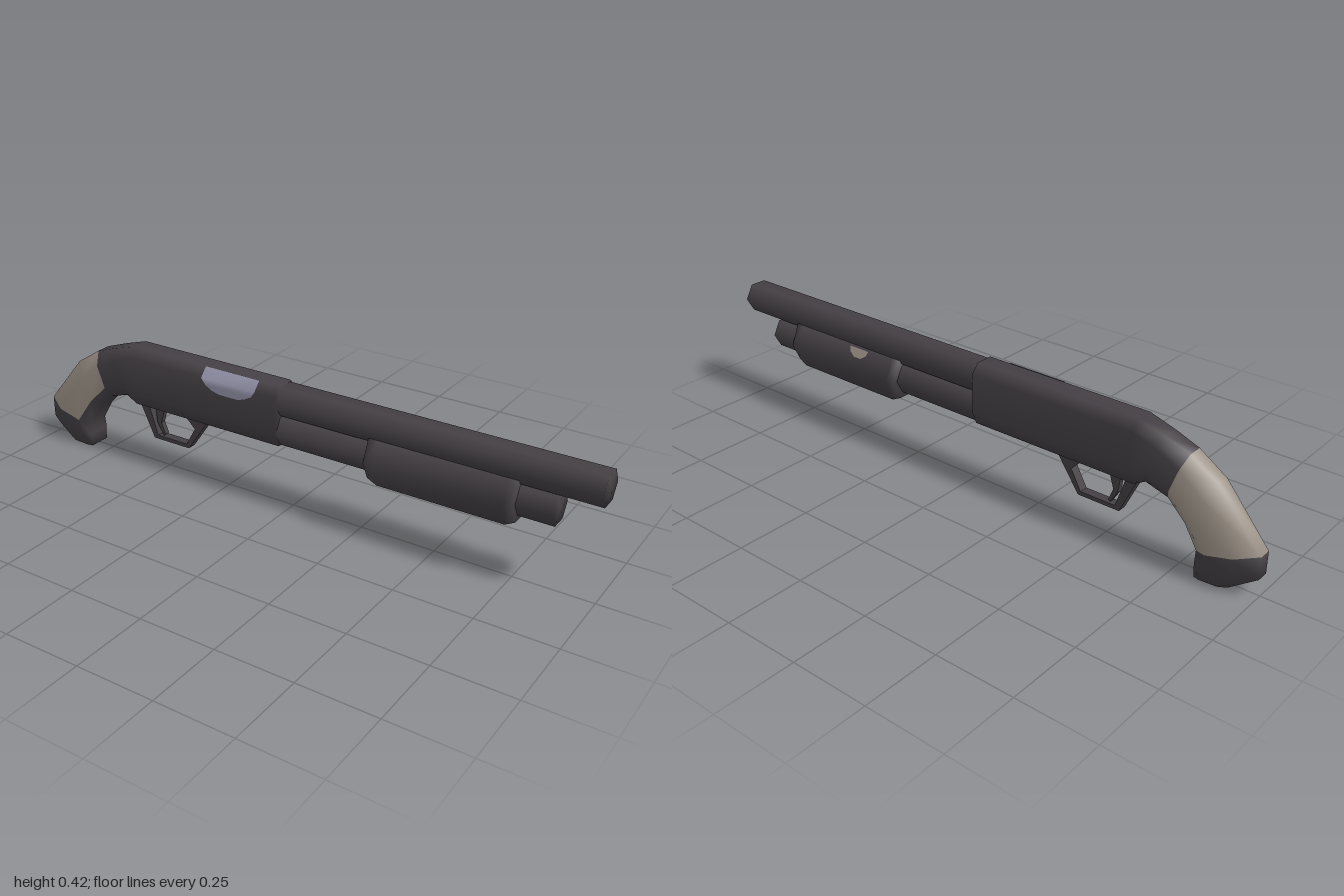
import * as THREE from 'three';

const mat = (name, color, extra = {}) =>
  Object.assign(new THREE.MeshStandardMaterial({ color, ...extra }), { name });

// Skin a list of rings (start to end) with capped ends and shared, smooth normals.
// pick(ring, side) gives the material index of each quad.
function loft(rings, pick = () => 0) {
  const n = rings[0].length, pos = rings.flat(2), lists = [[], []];
  const centre = ring => [0, 1, 2].map(k => ring.reduce((s, p) => s + p[k], 0) / n);
  const last = rings.length - 1, c0 = rings.length * n;
  pos.push(...centre(rings[0]), ...centre(rings[last]));
  for (let j = 0; j < n; j++) {
    const k = (j + 1) % n;
    for (let i = 0; i < last; i++) {
      const a = i * n + j, b = i * n + k;
      lists[pick(i, j)].push(a, b, a + n, b, b + n, a + n);
    }
    lists[0].push(c0, k, j, c0 + 1, last * n + j, last * n + k);
  }
  const g = new THREE.BufferGeometry();
  g.setAttribute('position', new THREE.Float32BufferAttribute(pos, 3));
  g.setIndex(lists.flat());
  g.addGroup(0, lists[0].length, 0);
  if (lists[1].length) g.addGroup(lists[0].length, lists[1].length, 1);
  g.computeVertexNormals();
  return g;
}

// Eight-sided section between a top and a bottom point of the side outline.
function section([tx, ty, bx, by, w, topW, botW, hi, lo]) {
  const half = [[1, topW], [hi, w], [lo, w], [0, botW]];
  const at = (t, z) => [bx + (tx - bx) * t, by + (ty - by) * t, z];
  return [...half.map(([t, z]) => at(t, z)), ...half.reverse().map(([t, z]) => at(t, -z))];
}

// Six-sided section at x with points at the sides and flats above and below.
const hexRing = (x, yMid, top, bottom, w, flat) => [
  [x, top, flat], [x, yMid, w], [x, bottom, flat],
  [x, bottom, -flat], [x, yMid, -w], [x, top, -flat],
];

// Flat outline extruded evenly about z = 0.
function plate(outline, hole, depth) {
  const shape = new THREE.Shape(outline.map(p => new THREE.Vector2(...p)));
  if (hole) shape.holes.push(new THREE.Path(hole.map(p => new THREE.Vector2(...p))));
  return new THREE.ExtrudeGeometry(shape, { depth, bevelEnabled: false }).translate(0, 0, -depth / 2);
}

// Open strip across rows of [y, z, xStart, xEnd].
function strip(rows) {
  const idx = [];
  for (let i = 0; i < rows.length - 1; i++) {
    const a = i * 2;
    idx.push(a, a + 2, a + 1, a + 1, a + 2, a + 3);
  }
  const g = new THREE.BufferGeometry();
  g.setAttribute('position', new THREE.Float32BufferAttribute(
    rows.flatMap(([y, z, x0, x1]) => [x0, y, z, x1, y, z]), 3));
  g.setIndex(idx);
  g.computeVertexNormals();
  return g;
}

export function createModel() {
  const group = new THREE.Group();
  const dark = mat('darkMetal', 0x454045);
  const wrap = mat('gripBeige', 0x9c9287, { side: THREE.DoubleSide });
  const port = mat('portLavender', 0x9694ab, { side: THREE.DoubleSide });
  const add = (name, geometry, material) => {
    const mesh = new THREE.Mesh(geometry, material);
    mesh.name = name;
    group.add(mesh);
  };

  // Grip and receiver, from the butt forward; the beige wrap leaves the front strap dark
  const body = [
    [-0.916, 0.005, -0.815, 0.0, 0.042, 0.03, 0.036, 0.75, 0.2],
    [-1.0, 0.0625, -0.815, 0.045, 0.05, 0.02, 0.04, 0.7, 0.2],
    [-1.0, 0.135, -0.815, 0.086, 0.056, 0.02, 0.036, 0.65, 0.2],
    [-0.857, 0.303, -0.772, 0.153, 0.054, 0.022, 0.032, 0.68, 0.2],
    [-0.765, 0.362, -0.712, 0.213, 0.052, 0.024, 0.032, 0.72, 0.22],
    [-0.685, 0.39, -0.64, 0.236, 0.053, 0.027, 0.034, 0.8, 0.22],
    [-0.6, 0.415, -0.6, 0.215, 0.056, 0.029, 0.036, 0.85, 0.22],
    [-0.03, 0.415, -0.03, 0.215, 0.056, 0.029, 0.036, 0.85, 0.22],
  ].map(section);
  add('receiverAndGrip',
    loft(body, (i, j) => ((i === 2 || i === 3) && j !== 2 && j !== 3 ? 1 : 0)), [dark, wrap]);

  // Barrel and the tube below it
  add('barrel', loft([-0.04, 1].map(x => hexRing(x, 0.362, 0.409, 0.316, 0.055, 0.028))), dark);
  add('magazineTube', loft([-0.04, 0.87].map(x => hexRing(x, 0.262, 0.309, 0.217, 0.053, 0.027))), dark);

  // Sliding fore-end, its underside bevelled at both ends
  add('foreEnd', loft([[0.287, 0.2], [0.32, 0.184], [0.73, 0.184], [0.76, 0.2]]
    .map(([x, bottom]) => hexRing(x, 0.26, 0.33, bottom, 0.068, 0.039))), dark);

  // Trigger guard and trigger
  add('triggerGuard', plate(
    [[-0.605, 0.22], [-0.547, 0.095], [-0.403, 0.095], [-0.315, 0.22]],
    [[-0.565, 0.212], [-0.532, 0.108], [-0.412, 0.108], [-0.375, 0.172], [-0.415, 0.212]], 0.03), dark);
  add('trigger', plate(
    [[-0.545, 0.22], [-0.536, 0.15], [-0.512, 0.11], [-0.505, 0.116], [-0.52, 0.155], [-0.5, 0.22]],
    null, 0.018), dark);

  // Ejection port, folded over the upper left edge of the receiver
  add('ejectionPort', strip([
    [0.416, 0.031, -0.307, -0.104],
    [0.386, 0.058, -0.307, -0.104],
    [0.366, 0.058, -0.292, -0.118],
    [0.352, 0.058, -0.268, -0.145],
    [0.345, 0.058, -0.24, -0.17],
  ]), port);

  // Small worn patch on the back of the fore-end
  add('foreEndPatch', strip([
    [0.325, -0.044, 0.42, 0.5],
    [0.31, -0.051, 0.425, 0.495],
    [0.297, -0.0565, 0.445, 0.475],
  ]), wrap);

  return group;
}
